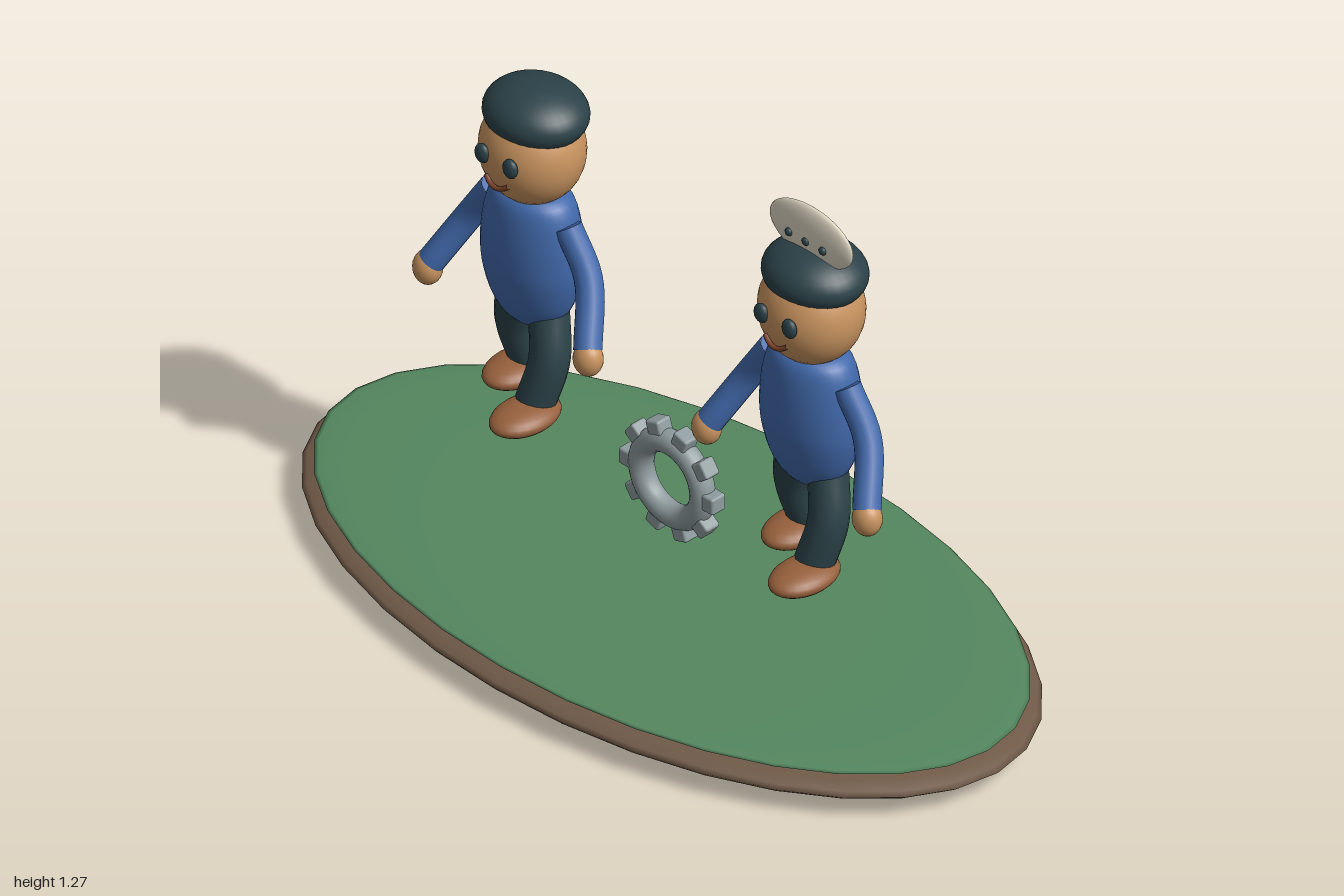
import * as THREE from 'three';
import { RoundedBoxGeometry } from 'three/addons/geometries/RoundedBoxGeometry.js';

const mat = (color) => new THREE.MeshStandardMaterial({ color });
const V = (x, y, z) => new THREE.Vector3(x, y, z);

export function createModel() {
  const model = new THREE.Group();
  model.name = 'model';
  const blue = mat(0x4169ab), skin = mat(0xc8935f), dark = mat(0x2b4248), shoe = mat(0x96603c);
  const green = mat(0x54875f), earth = mat(0x705a48), cream = mat(0xddd6c2), metal = mat(0x8f9c9f);
  const lip = mat(0x7a4228);

  const add = (parent, name, geometry, material) => {
    const mesh = new THREE.Mesh(geometry, material);
    mesh.name = name;
    parent.add(mesh);
    return mesh;
  };
  const ellipsoid = (parent, name, material, pos, radii, seg = 32) => {
    const mesh = add(parent, name, new THREE.SphereGeometry(1, seg, Math.ceil(seg * 0.6)), material);
    mesh.position.set(...pos);
    mesh.scale.set(...radii);
    return mesh;
  };
  // Curved limb with closed ends
  const limb = (parent, name, material, points, radius) => {
    const curve = new THREE.CatmullRomCurve3(points);
    add(parent, name, new THREE.TubeGeometry(curve, 16, radius, 16), material);
    for (const t of [0, 1]) {
      const cap = add(parent, name + 'End', new THREE.CircleGeometry(radius, 16), material);
      const out = curve.getTangent(t).multiplyScalar(t ? 1 : -1);
      cap.position.copy(curve.getPoint(t));
      cap.quaternion.setFromUnitVectors(V(0, 0, 1), out);
    }
  };

  // Oval island: earth below, grass on top
  ellipsoid(model, 'earthBase', earth, [0, 0.06, 0], [1, 0.058, 0.545]);
  ellipsoid(model, 'grassTop', green, [0, 0.104, 0], [0.97, 0.019, 0.524]);

  // Gear ring with ten teeth
  const gear = new THREE.Group();
  gear.name = 'gear';
  gear.position.y = 0.345;
  model.add(gear);
  add(gear, 'gearRing', new THREE.TorusGeometry(0.094, 0.029, 16, 40), metal);
  for (let i = 0; i < 10; i++) {
    const a = (i * Math.PI) / 5;
    const tooth = add(gear, 'gearTooth', new RoundedBoxGeometry(0.042, 0.042, 0.042, 2, 0.006), metal);
    tooth.position.set(Math.cos(a) * 0.124, Math.sin(a) * 0.124, 0);
    tooth.rotation.z = a;
  }

  const torsoProfile = new THREE.SplineCurve([
    [0, 0.555], [0.055, 0.567], [0.1, 0.615], [0.125, 0.69], [0.13, 0.75],
    [0.124, 0.82], [0.106, 0.885], [0.07, 0.91], [0, 0.915],
  ].map((p) => new THREE.Vector2(...p))).getPoints(28);
  torsoProfile.forEach((p) => { p.x = Math.max(p.x, 0); });

  // Walking figure
  const makeFigure = (name, x) => {
    const fig = new THREE.Group();
    fig.name = name;
    fig.position.x = x;
    model.add(fig);

    add(fig, 'torso', new THREE.LatheGeometry(torsoProfile, 32), blue).scale.z = 0.73;
    ellipsoid(fig, 'head', skin, [0, 1.01, 0], [0.123, 0.13, 0.115]);
    ellipsoid(fig, 'cap', dark, [0, 1.1, -0.011], [0.125, 0.07, 0.111]);
    const smile = new THREE.CatmullRomCurve3([
      V(-0.034, 0.972, 0.108), V(-0.018, 0.961, 0.112), V(0, 0.957, 0.114),
      V(0.018, 0.961, 0.112), V(0.034, 0.972, 0.108)]);
    add(fig, 'mouth', new THREE.TubeGeometry(smile, 16, 0.006, 8), lip);

    for (const s of [-1, 1]) {
      ellipsoid(fig, 'eye', dark, [s * 0.043, 1.026, 0.111], [0.02, 0.024, 0.013], 16);
      limb(fig, 'arm', blue,
        [V(s * 0.112, 0.855, 0.003), V(s * 0.18, 0.75, 0.008), V(s * 0.24, 0.625, 0.07)], 0.032);
      ellipsoid(fig, 'hand', skin, [s * 0.246, 0.608, 0.075], [0.035, 0.042, 0.033], 20);
      // Left leg steps forward, right leg back
      const footZ = s > 0 ? 0.052 : -0.056;
      limb(fig, 'leg', dark,
        [V(s * 0.05, 0.61, 0), V(s * 0.078, 0.5, footZ * 0.5), V(s * 0.062, 0.395, footZ)], 0.046);
      ellipsoid(fig, 'foot', shoe, [s * 0.07, 0.38, s > 0 ? 0.092 : -0.026], [0.063, 0.031, 0.093], 24);
    }
    return fig;
  };

  makeFigure('rightFigure', -0.428);
  const crested = makeFigure('leftFigure', 0.428);

  // Flat crest with three studs on the left figure's cap
  ellipsoid(crested, 'crest', cream, [0, 1.202, 0], [0.127, 0.071, 0.019]);
  for (const i of [-1, 0, 1])
    ellipsoid(crested, 'crestStud', dark, [i * 0.052, 1.19, 0.018], [0.01, 0.01, 0.008], 12);

  return model;
}
